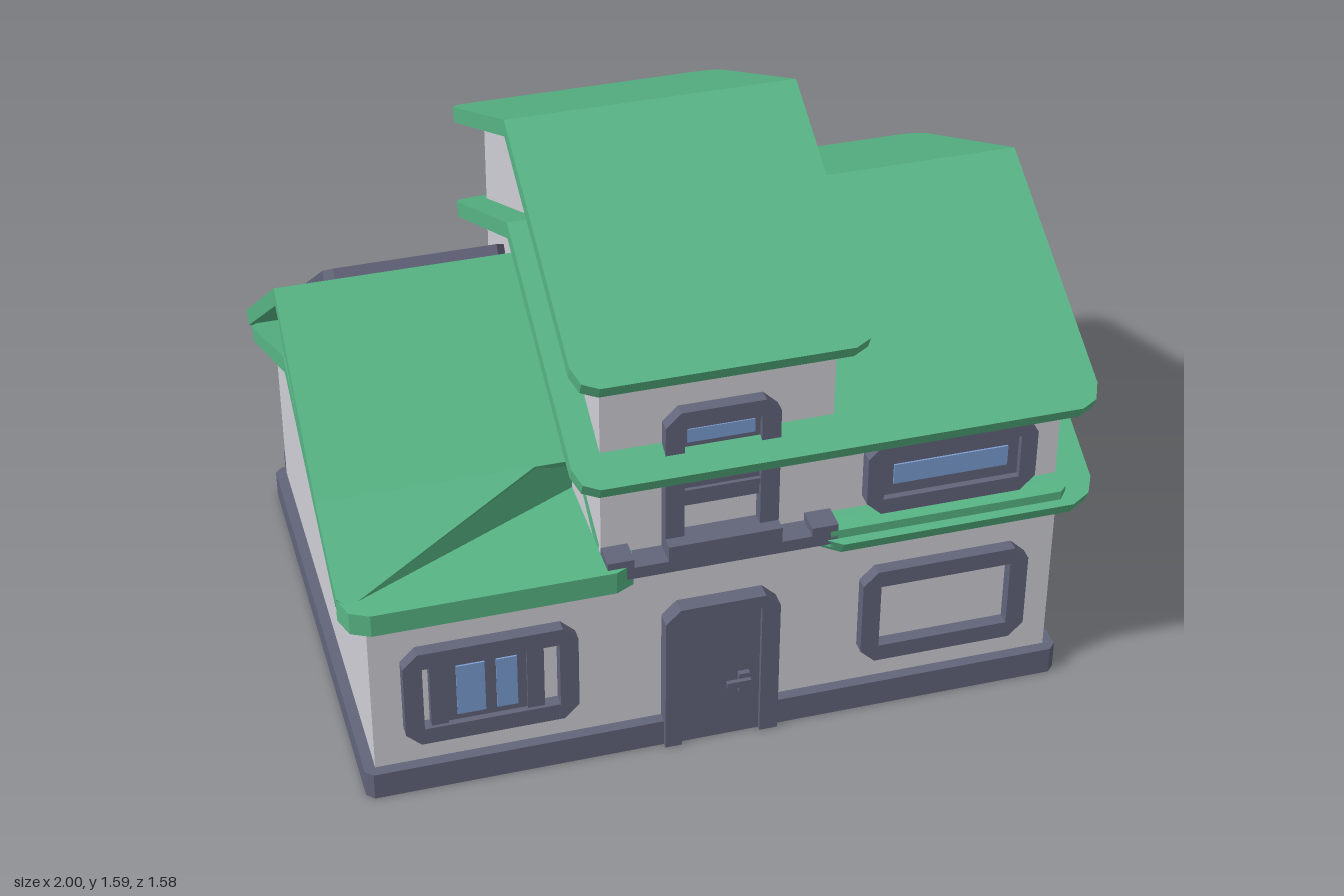
import * as THREE from 'three';

const mat = (name, color, extra = {}) => Object.assign(new THREE.MeshStandardMaterial({ color, ...extra }), { name });
const RIDGE = 0.085, PITCH = 0.505;

export function createModel() {
  const root = new THREE.Group();
  const green = mat('leaf green', 0x58b585);
  const wall = mat('pale wall', 0xcfcfd6);
  const trim = mat('slate trim', 0x62647a);
  const glass = mat('blue glass', 0x7a9dd2);
  const soil = mat('terracotta soil', 0xcb7850);

  const add = (parent, name, geo, material) => {
    const m = new THREE.Mesh(geo, material);
    m.name = name;
    parent.add(m);
    return m;
  };
  const poly = (pts) => new THREE.Shape(pts.map(([x, y]) => new THREE.Vector2(x, y)));
  // rectangle with cut corners
  const rect = (x0, y0, x1, y1, c = 0) => c ? [
    [x0 + c, y0], [x1 - c, y0], [x1, y0 + c], [x1, y1 - c],
    [x1 - c, y1], [x0 + c, y1], [x0, y1 - c], [x0, y0 + c],
  ] : [[x0, y0], [x1, y0], [x1, y1], [x0, y1]];

  // upright plate on a wall, with optional openings
  function plate(g, name, material, pts, depth, z0 = 0, holes = []) {
    const s = poly(pts);
    s.holes = holes.map(poly);
    const geo = new THREE.ExtrudeGeometry(s, { depth, bevelEnabled: false });
    geo.translate(0, 0, z0);
    return add(g, name, geo, material);
  }

  // sloping slab: points are [x, distance from ridge], side +1 is the front
  function slope(name, material, pts, peak, pitch, ridge, side, t, holes = []) {
    const flip = (p) => p.map(([x, w]) => [-side * x, w]);
    const s = poly(flip(pts));
    s.holes = holes.map((h) => poly(flip(h)));
    const geo = new THREE.ExtrudeGeometry(s, { depth: 1, bevelEnabled: false });
    const p = geo.attributes.position, a = Math.atan(pitch);
    for (let i = 0; i < p.count; i++) {
      const w = p.getY(i), down = t * (1 - p.getZ(i));
      p.setXYZ(i, p.getX(i), peak - pitch * w - down * Math.cos(a), -w + down * Math.sin(a));
    }
    geo.computeVertexNormals();
    if (side > 0) geo.rotateY(Math.PI);
    geo.translate(0, 0, ridge);
    return add(root, name, geo, material);
  }
  const eave = (x0, x1, w, c = 0.06) => [[x0, 0], [x1, 0], [x1, w - c], [x1 - c * 0.3, w - c * 0.3],
    [x1 - c, w], [x0 + c, w], [x0 + c * 0.3, w - c * 0.3], [x0, w - c]];

  // gabled storeys, profile in [z, y]
  function storey(name, x0, x1, profile) {
    const geo = new THREE.ExtrudeGeometry(poly(profile.map(([z, y]) => [-z, y])), { depth: x1 - x0, bevelEnabled: false });
    geo.rotateY(Math.PI / 2).translate(x0, 0, 0);
    add(root, name, geo, wall);
  }
  const under = (z, peak) => peak - 0.025 - PITCH * Math.abs(z - RIDGE);
  const gable = (zb, y0, peak) => [[0.7, y0], [0.7, under(0.7, peak)], [RIDGE, peak - 0.025], [zb, under(zb, peak)], [zb, y0]];
  const low = gable(-0.61, 0.03, 0.975);
  storey('groundStorey', -0.32, 0.92, low);
  storey('groundStoreyEnd', -0.93, -0.91, low);
  storey('groundStoreyWing', -0.91, -0.32,
    [[0.7, 0.03], [0.7, 0.61], [0.4, 0.61], [0.4, under(0.4, 0.975)], ...low.slice(2)]);
  storey('middleStorey', -0.32, 0.91, gable(-0.53, 0.5, 1.285));
  storey('topStorey', -0.32, 0.29, gable(-0.53, 0.8, 1.59));

  // upper roofs
  for (const [name, x1, peak] of [['topRoof', 0.37, 1.59], ['middleRoof', 0.99, 1.285]])
    for (const side of [1, -1])
      slope(name, green, eave(-0.4, x1, 0.705), peak, PITCH, RIDGE, side, 0.043);

  // lower roof, notched above the front door and cut at the left
  slope('lowerRoofBack', green, eave(-1, 1, 0.7), 0.975, PITCH, RIDGE, -1, 0.043);
  slope('lowerRoofFront', green, [[-1, 0], [1, 0], [1, 0.64], [0.98, 0.68], [0.93, 0.703], [0.3, 0.703], [0.25, 0.68],
    [0.24, 0.6], [-0.32, 0.6], [-0.32, 0.325], [-0.97, 0.645], [-1, 0.62]], 0.975, PITCH, RIDGE, 1, 0.043);
  slope('flatEave', green, [[-1, 0.7], [-0.98, 0.76], [-0.93, 0.785], [-0.3, 0.785], [-0.25, 0.76], [-0.24, 0.7],
    [-0.32, 0.41], [-0.97, 0.7]], 0.655, 0, 0, 1, 0.065);
  slope('rightFlatEave', green, rect(0.25, 0.69, 0.92, 0.77, 0.02), 0.655, 0, 0, 1, 0.05);
  const cheek = new THREE.BufferGeometry().setFromPoints([
    new THREE.Vector3(-0.97, 0.65, 0.73), new THREE.Vector3(-0.32, 0.65, 0.41), new THREE.Vector3(-0.32, 0.8, 0.41)]);
  cheek.computeVertexNormals();
  add(root, 'roofCheek', cheek, green);

  // steep roof crossing the lower one
  slope('steepRoofBack', green, eave(-1, 1, 0.705), 1.135, 0.757, 0, -1, 0.043);
  slope('steepRoofFrontLeft', green, rect(-1, 0, -0.3, 0.465), 1.135, 0.757, 0, 1, 0.043);
  slope('steepRoofFrontRight', green, rect(0.3, 0, 1, 0.7), 1.135, 0.757, 0, 1, 0.043);

  // roof panel on the back slope
  const onRoof = (name, m, pts, lift, t, holes) => slope(name, m, pts, 1.135 + lift, 0.757, 0, -1, t, holes);
  onRoof('panelSheet', trim, rect(-0.83, 0.14, -0.38, 0.59), 0.022, 0.02);
  onRoof('panelFrame', trim, rect(-0.85, 0.12, -0.36, 0.61, 0.025), 0.045, 0.045,
    [rect(-0.815, 0.155, -0.62, 0.575, 0.01), rect(-0.595, 0.155, -0.395, 0.575, 0.01)]);
  onRoof('panelFlap', green, [[-0.6, 0.575], [-0.39, 0.575], [-0.39, 0.53], [-0.42, 0.53], [-0.42, 0.495], [-0.6, 0.55]], 0.052, 0.02);
  onRoof('panelLatch', trim, rect(-0.54, 0.1, -0.47, 0.13), 0.04, 0.03);

  // plinth with a planter bed on each side of the back door
  const base = (name, pts, y0, y1, m) => {
    const geo = new THREE.ExtrudeGeometry(poly(pts.map(([x, z]) => [x, -z])), { depth: y1 - y0, bevelEnabled: false });
    add(root, name, geo.rotateX(-Math.PI / 2).translate(0, y0, 0), m);
  };
  base('plinth', rect(-0.96, -0.64, 0.95, 0.73, 0.02), 0, 0.08, trim);
  const bushProfile = [[0, 0], [0.05, 0], [0.085, 0.3], [0.072, 0.62], [0.04, 0.95], [0, 1]].map(([r, y]) => new THREE.Vector2(r, y));
  for (const cx of [-0.615, 0.605]) {
    const bed = (i) => [[cx - 0.305 + i, -0.6], [cx - 0.305 + i, -0.71], [cx - 0.27 + i * 0.7, -0.77 + i * 0.7], [cx - 0.23, -0.79 + i],
      [cx + 0.23, -0.79 + i], [cx + 0.27 - i * 0.7, -0.77 + i * 0.7], [cx + 0.305 - i, -0.71], [cx + 0.305 - i, -0.6]];
    base('planterBase', bed(0), 0, 0.06, trim);
    base('planterSoil', bed(0.025), 0.06, 0.068, soil);
    for (let k = 0; k < 2; k++) {
      const inner = bed(0.028), outer = bed(0);
      if (k === 0) base('planterRim', [...outer, ...inner.reverse()], 0.06, 0.08, trim);
      const bush = add(root, 'bush', new THREE.LatheGeometry(bushProfile, 8), green);
      bush.position.set(cx + (k ? 0.105 : -0.115), 0.065, -0.69);
      bush.scale.y = k ? 0.215 : 0.175;
    }
  }

  // wall details, each set drawn on a flat wall facing +z
  const face = (name, x, z, turn) => {
    const g = new THREE.Group();
    g.name = name;
    g.position.set(x, 0, z);
    g.rotation.y = turn;
    root.add(g);
    return g;
  };
  const ring = (g, x0, y0, x1, y1, b = 0.05, d = 0.035) =>
    plate(g, 'windowFrame', trim, rect(x0, y0, x1, y1, 0.04), d, 0, [rect(x0 + b, y0 + b, x1 - b, y1 - b)]);
  const pane = (g, x0, y0, x1, y1, z) => plate(g, 'windowPane', glass, rect(x0, y0, x1, y1), 0.005, z);

  function door(g, mirror) {
    plate(g, 'doorFrame', trim, [[-0.16, 0], [-0.115, 0], [-0.115, 0.42], [0.1, 0.42], [0.1, 0], [0.15, 0],
      [0.15, 0.42], [0.11, 0.46], [-0.12, 0.46], [-0.16, 0.42]], 0.045);
    plate(g, 'door', trim, rect(-0.115, 0, 0.1, 0.42), 0.032);
    plate(g, 'handlePlate', trim, rect(0.04, 0.15, 0.07, 0.21), 0.015, 0.032);
    plate(g, 'handle', trim, rect(0.005, 0.175, 0.07, 0.195), 0.012, 0.047);
    if (!mirror) return;
    const f = 0.05, cy = 0.32;
    plate(g, 'doorPane', glass, [[-0.01, cy - f], [0.03, cy], [-0.01, cy + f], [-0.05, cy]], 0.006, 0.032);
  }

  // tall stair window with balcony, and a wide window beside it
  function upper(g, cx, yBalcony) {
    plate(g, 'tallFrame', trim, rect(-0.16, 0.64, 0.14, 1.08, 0.04), 0.035, 0, [rect(-0.11, 0.68, 0.09, 1.03)]);
    plate(g, 'tallSash', trim, rect(-0.11, 0.78, 0.09, 1.03), 0.02, 0, [rect(-0.1, 0.85, 0.08, 0.88)]);
    pane(g, -0.1, 0.98, 0.075, 1.02, 0.02);
    plate(g, 'sashBar', trim, rect(-0.11, 0.815, 0.09, 0.835), 0.03);
    plate(g, 'balcony', trim, [[-0.32, yBalcony], [0.29, yBalcony], [0.29, yBalcony + 0.06], [0.22, yBalcony + 0.06],
      [0.22, yBalcony + 0.035], [0.14, yBalcony + 0.035], [0.14, yBalcony + 0.08], [-0.16, yBalcony + 0.08],
      [-0.16, yBalcony + 0.035], [-0.25, yBalcony + 0.035], [-0.25, yBalcony + 0.06], [-0.32, yBalcony + 0.06]], 0.07);
    ring(g, cx - 0.23, 0.66, cx + 0.23, 0.88, 0.045, 0.04);
    plate(g, 'wideSash', trim, rect(cx - 0.185, 0.705, cx + 0.185, 0.835), 0.022);
    pane(g, cx - 0.155, 0.74, cx + 0.155, 0.8, 0.022);
  }

  const front = face('frontDetails', 0, 0.7, 0);
  door(front, false);
  upper(front, 0.605, 0.615);
  ring(front, -0.85, 0.16, -0.39, 0.46);
  plate(front, 'sash', trim, rect(-0.78, 0.19, -0.48, 0.43), 0.026, 0, [rect(-0.735, 0.205, -0.525, 0.415)]);
  plate(front, 'innerSash', trim, rect(-0.735, 0.205, -0.525, 0.415), 0.018);
  pane(front, -0.71, 0.23, -0.635, 0.39, 0.018);
  pane(front, -0.605, 0.23, -0.55, 0.39, 0.018);
  ring(front, 0.38, 0.16, 0.84, 0.46);

  ring(face('sideWindow', 0.92, 0, Math.PI / 2), -0.55, 0.155, -0.24, 0.46, 0.047, 0.022);

  const back = face('backDetails', 0, -0.61, Math.PI);
  door(back, true);
  for (const cx of [-0.585, 0.625]) {
    ring(back, cx - 0.155, 0.1, cx + 0.155, 0.46, 0.045);
    plate(back, 'sash', trim, rect(cx - 0.11, 0.14, cx + 0.11, 0.415), 0.018);
    pane(back, cx - 0.07, 0.15, cx + 0.07, 0.38, 0.018);
  }
  upper(face('upperBackDetails', 0, -0.53, Math.PI), -0.605, 0.71);

  return root;
}
